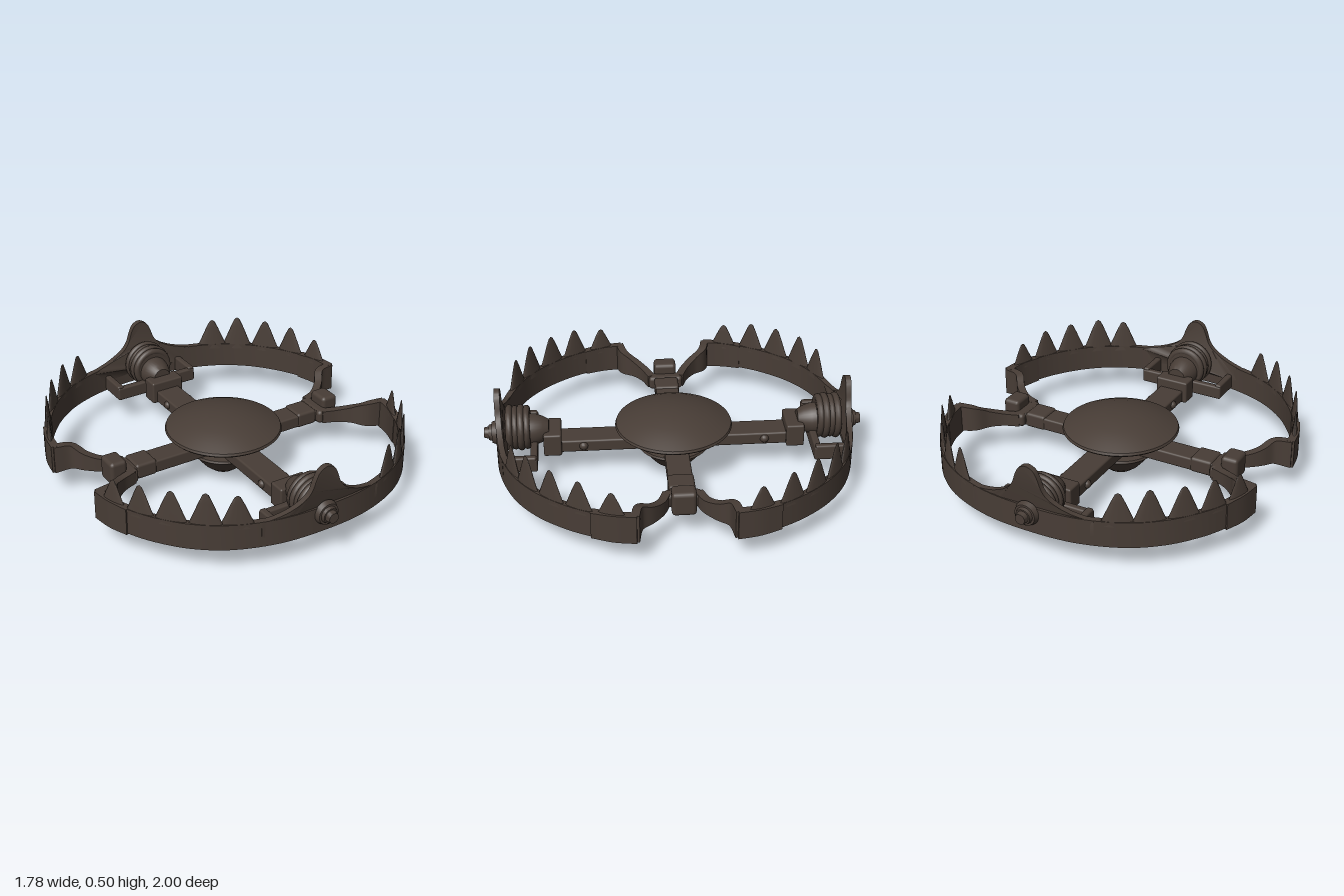
import * as THREE from 'three';
import { toCreasedNormals } from 'three/addons/utils/BufferGeometryUtils.js';
import { RoundedBoxGeometry } from 'three/addons/geometries/RoundedBoxGeometry.js';

const iron = new THREE.MeshStandardMaterial({ color: 0x483d36 });
iron.name = 'dark iron';

function add(parent, name, geometry, x = 0, y = 0, z = 0) {
  const mesh = new THREE.Mesh(geometry, iron);
  mesh.name = name;
  mesh.position.set(x, y, z);
  parent.add(mesh);
  return mesh;
}

// Box given by its limits, with softened edges
function block(parent, name, x0, x1, y0, y1, z0, z1, r = 0.01) {
  const g = new RoundedBoxGeometry(x1 - x0, y1 - y0, z1 - z0, 2, r);
  return add(parent, name, g, (x0 + x1) / 2, (y0 + y1) / 2, (z0 + z1) / 2);
}

// Cylinder lying along z from z0 to z1
function rod(parent, name, rBack, rFront, z0, z1, y) {
  const g = new THREE.CylinderGeometry(rFront, rBack, z1 - z0, 24).rotateX(Math.PI / 2);
  return add(parent, name, toCreasedNormals(g, 0.6), 0, y, (z0 + z1) / 2);
}

function lathe(profile, sides = 48) {
  return toCreasedNormals(new THREE.LatheGeometry(profile.map(p => new THREE.Vector2(...p)), sides), 0.7);
}

// Upright strip along points [x, z, yBottom, yTop]
function strip(points, thickness, steps) {
  const low = new THREE.CatmullRomCurve3(points.map(p => new THREE.Vector3(p[0], p[2], p[1])), false, 'catmullrom', 0.5);
  const high = new THREE.CatmullRomCurve3(points.map(p => new THREE.Vector3(p[0], p[3], p[1])), false, 'catmullrom', 0.5);
  const pos = [], idx = [];
  for (let i = 0; i <= steps; i++) {
    const a = low.getPoint(i / steps), b = high.getPoint(i / steps), d = low.getTangent(i / steps);
    d.y = 0;
    d.normalize();
    const nx = -d.z * thickness / 2, nz = d.x * thickness / 2;
    pos.push(a.x + nx, a.y, a.z + nz, a.x - nx, a.y, a.z - nz);
    pos.push(b.x - nx, b.y, b.z - nz, b.x + nx, b.y, b.z + nz);
    if (i === steps) break;
    for (let k = 0; k < 4; k++) {
      const p = i * 4 + k, q = i * 4 + (k + 1) % 4;
      idx.push(p, q, q + 4, p, q + 4, p + 4);
    }
  }
  const e = steps * 4;
  idx.push(0, 2, 1, 0, 3, 2, e, e + 1, e + 2, e, e + 2, e + 3);
  const g = new THREE.BufferGeometry();
  g.setAttribute('position', new THREE.Float32BufferAttribute(pos, 3));
  g.setIndex(idx);
  return toCreasedNormals(g, 0.7);
}

const flip = points => points.map(([x, ...rest]) => [-x, ...rest]).reverse();

function createJaw() {
  const jaw = new THREE.Group();
  jaw.name = 'jaw';

  // Curved band
  const half = [[0, 0.918], [0.24, 0.9], [0.46, 0.828], [0.62, 0.718], [0.738, 0.58], [0.812, 0.45], [0.848, 0.35], [0.87, 0.25]]
    .map(([x, z]) => [x, z, 0.147, 0.287]);
  add(jaw, 'jawBand', strip([...flip(half), ...half.slice(1)], 0.032, 84));

  // Corner sleeves and the tapering returns to the hinges
  const sleeve = [[0.812, 0.455, 0.142, 0.287], [0.85, 0.35, 0.138, 0.29], [0.868, 0.24, 0.136, 0.29]];
  const back = [[0.875, 0.25, 0.138, 0.29], [0.785, 0.228, 0.15, 0.285], [0.735, 0.165, 0.155, 0.25], [0.67, 0.112, 0.155, 0.228], [0.59, 0.08, 0.155, 0.225]];
  for (const [path, name, t] of [[sleeve, 'cornerSleeve', 0.042], [back, 'hingeArm', 0.042]]) {
    add(jaw, name, strip(path, t, 20));
    add(jaw, name, strip(flip(path), t, 20));
  }

  // Teeth: flattened cones turned to follow the band [x, z, tip, half width, turn]
  const teeth = [[0.44, 0.836, 0.44, 0.092, 0.47], [0.567, 0.76, 0.455, 0.092, 0.66], [0.688, 0.645, 0.447, 0.092, 0.84],
    [0.78, 0.513, 0.437, 0.085, 1.04], [0.842, 0.36, 0.405, 0.08, 1.23]];
  for (const [x, z, tip, w, turn] of teeth) {
    for (const side of [1, -1]) {
      const h = tip - 0.26;
      const tooth = add(jaw, 'tooth', lathe([[w, 0], [w * 0.7, h * 0.34], [w * 0.38, h * 0.72], [w * 0.16, h * 0.95], [0, h]], 12), side * x, 0.26, z);
      tooth.scale.z = 0.017 / w;
      tooth.rotation.y = side * turn;
    }
  }

  // Rounded central peak, bent to the band
  const edge = [[0.34, 0.28], [0.22, 0.305], [0.13, 0.345], [0.085, 0.39], [0.062, 0.45], [0.04, 0.49], [0, 0.508]];
  const top = new THREE.SplineCurve([...edge, ...flip(edge).slice(1)].map(p => new THREE.Vector2(...p))).getPoints(48);
  const base = Array.from({ length: 17 }, (_, i) => new THREE.Vector2(-0.34 + i * 0.0425, 0.2));
  const peak = new THREE.ExtrudeGeometry(new THREE.Shape([...top, ...base]), { depth: 0.03, bevelEnabled: false });
  const p = peak.attributes.position;
  for (let i = 0; i < p.count; i++) p.setZ(i, p.getZ(i) + 0.904 - 0.36 * p.getX(i) ** 2);
  add(jaw, 'centrePeak', toCreasedNormals(peak, 0.7));

  // Rectangular bracket behind the band
  block(jaw, 'bracketBar', -0.248, 0.248, 0.15, 0.225, 0.72, 0.757);
  for (const s of [1, -1]) block(jaw, 'bracketSide', s * 0.23 - 0.018, s * 0.23 + 0.018, 0.15, 0.235, 0.725, 0.895);
  return jaw;
}

// Coil spring, bolt and mount at the end of the long arm
function createSpring() {
  const spring = new THREE.Group();
  spring.name = 'springUnit';
  block(spring, 'springMount', -0.095, 0.095, 0.145, 0.27, 0.595, 0.69);
  const neck = [[0, 0], [0.05, 0], [0.068, 0.03], [0.082, 0.07], [0.085, 0.105], [0, 0.105]];
  add(spring, 'springNeck', lathe(neck, 32).rotateX(Math.PI / 2), 0, 0.26, 0.66);
  rod(spring, 'springCore', 0.1, 0.1, 0.758, 0.88, 0.275);
  for (let i = 0; i < 4; i++) add(spring, 'springCoil', new THREE.TorusGeometry(i % 2 ? 0.104 : 0.098, 0.019, 10, 36), 0, 0.275, 0.775 + i * 0.03);
  rod(spring, 'axle', 0.048, 0.045, 0.87, 0.94, 0.25);
  rod(spring, 'washer', 0.066, 0.056, 0.93, 0.958, 0.25);
  rod(spring, 'nut', 0.046, 0.04, 0.955, 0.975, 0.25);
  rod(spring, 'boltTip', 0.034, 0.027, 0.97, 1, 0.25);
  for (const s of [1, -1]) add(spring, 'armRivet', new THREE.SphereGeometry(0.024, 14, 10), s * 0.065, 0.185, 0.48);
  return spring;
}

export function createModel() {
  const trap = new THREE.Group();
  trap.name = 'jawTrap';

  // Crossed base arms
  block(trap, 'longArm', -0.07, 0.07, 0.15, 0.218, -0.66, 0.66);
  block(trap, 'crossArm', -0.6, 0.6, 0.152, 0.222, -0.063, 0.063);

  // Domed pressure plate on a post, with a rounded bowl below
  add(trap, 'pressurePlate', lathe([[0, 0.28], [0.16, 0.272], [0.3, 0.252], [0.31, 0.262], [0.305, 0.275], [0.25, 0.301], [0.18, 0.327], [0.1, 0.346], [0, 0.355]], 64));
  add(trap, 'post', new THREE.CylinderGeometry(0.06, 0.06, 0.14, 24), 0, 0.22, 0);
  add(trap, 'lowerBowl', lathe([[0, 0.003], [0.035, 0.007], [0.07, 0.022], [0.105, 0.05], [0.137, 0.087], [0.163, 0.12], [0.19, 0.143], [0.185, 0.155], [0, 0.16]], 48));

  // Hinges at the ends of the short arm
  for (const s of [1, -1]) {
    block(trap, 'hingeBlock', s * 0.655 - 0.047, s * 0.655 + 0.047, 0.15, 0.28, -0.062, 0.062, 0.02);
    block(trap, 'hingeBarrel', s * 0.595 - 0.035, s * 0.595 + 0.035, 0.15, 0.225, -0.095, 0.095, 0.02);
    block(trap, 'armCollar', s * 0.5 - 0.06, s * 0.5 + 0.06, 0.148, 0.232, -0.067, 0.067, 0.015);
  }

  // Matching jaws and springs, front and back
  for (const turn of [0, Math.PI]) {
    for (const part of [createJaw(), createSpring()]) {
      part.rotation.y = turn;
      trap.add(part);
    }
  }
  return trap;
}
